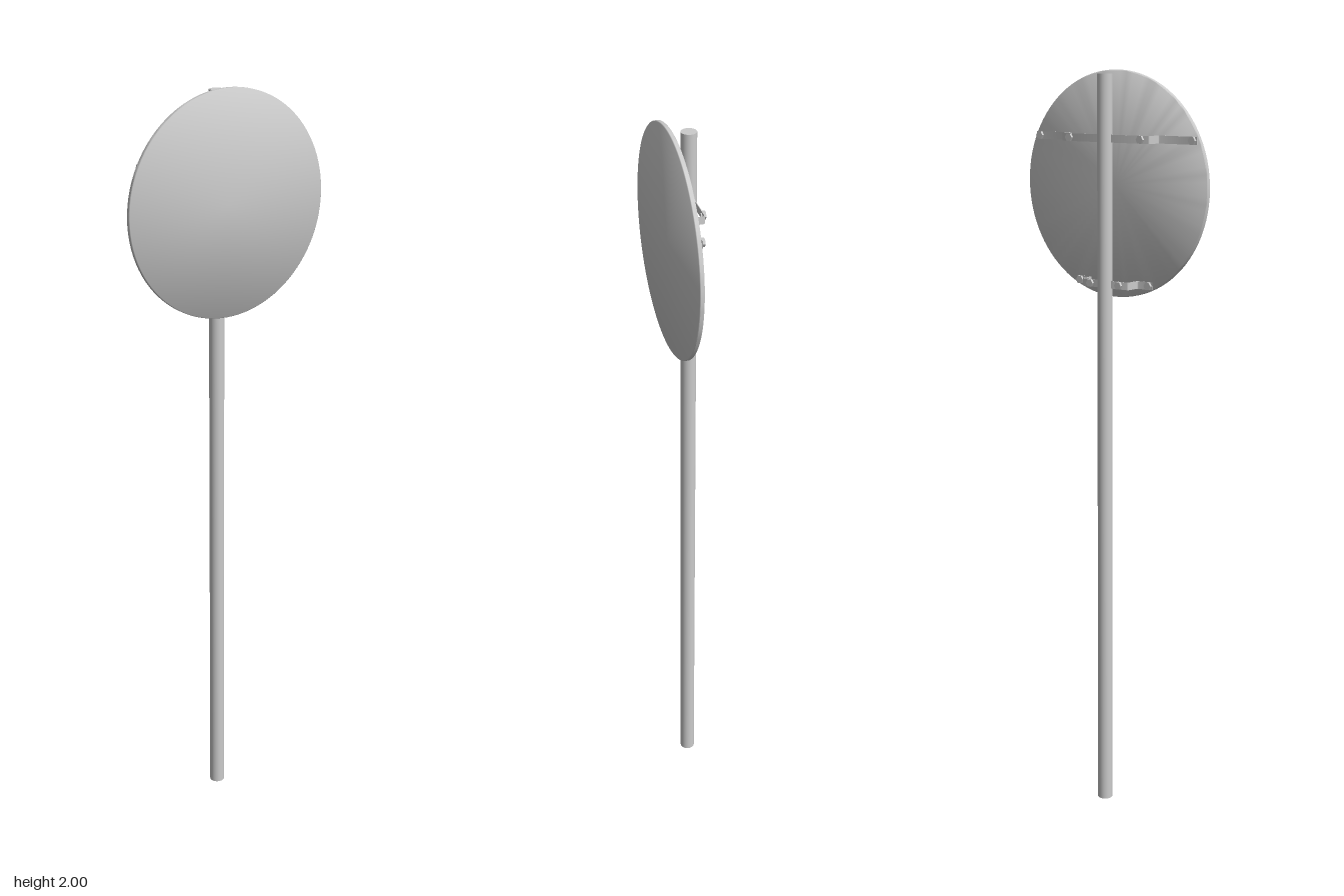
import * as THREE from 'three';
import { toCreasedNormals } from 'three/addons/utils/BufferGeometryUtils.js';

const grey = new THREE.MeshStandardMaterial({ color: 0xcccccc });
const POLE_Z = -0.018;   // pole axis and strap middle
const FOOT_Z = 0.0225;   // strap feet, against the back of the plate

function part(name, geometry, parent) {
  const mesh = new THREE.Mesh(geometry, grey);
  mesh.name = name;
  parent.add(mesh);
  return mesh;
}

// Hexagonal head with a short shank, pointing towards +z
function bolt(name, x, z, parent) {
  const group = new THREE.Group();
  group.name = name;
  const head = new THREE.CylinderGeometry(0.011, 0.011, 0.007, 6).rotateX(Math.PI / 2).rotateZ(Math.PI / 2);
  part('boltHead', toCreasedNormals(head, 0.5), group).position.z = -0.0045;
  const shank = new THREE.CylinderGeometry(0.006, 0.006, 0.006, 12).rotateX(Math.PI / 2);
  part('boltShank', shank, group).position.z = 0.001;
  group.position.set(x, 0, z);
  parent.add(group);
}

// Flat strap bent into a hat section: foot, riser, bridge, riser, foot
function strapGeometry(bend, end) {
  const t = 0.0015, r = 0.005, height = 0.02;
  const outline = (o, grow) => {
    const b = bend + grow, zf = FOOT_Z + o, zb = POLE_Z + o, pts = [];
    const arc = (cx, cz, rad, from, to) => {
      for (let i = 0; i <= 5; i++) {
        const a = from + (to - from) * i / 5;
        pts.push([cx + rad * Math.cos(a), cz + rad * Math.sin(a)]);
      }
    };
    pts.push([end, zf]);
    arc(b + r, zf - r, r, Math.PI / 2, Math.PI);   // foot into riser
    arc(b - r, zb + r, r, 0, -Math.PI / 2);        // riser into bridge
    return pts.concat(pts.slice().reverse().map(([x, z]) => [-x, z]));
  };
  const front = outline(t / 2, -t / 2), back = outline(-t / 2, t / 2);
  const shape = new THREE.Shape(front.concat(back.reverse()).map(([x, z]) => new THREE.Vector2(x, -z)));
  const g = new THREE.ExtrudeGeometry(shape, { depth: height, bevelEnabled: false });
  g.translate(0, 0, -height / 2).rotateX(-Math.PI / 2);
  return toCreasedNormals(g, 0.6);
}

export function createModel() {
  const model = new THREE.Group();
  model.name = 'roundSignOnPole';

  // Pole
  part('pole', new THREE.CylinderGeometry(0.02, 0.02, 1.99, 32), model).position.set(0, 0.995, POLE_Z);

  // Round plate with slightly softened edges
  const profile = [[0, 0], [0.292, 0], [0.294, 0.002], [0.294, 0.01], [0.292, 0.012], [0, 0.012]]
    .map(([r, y]) => new THREE.Vector2(r, y));
  const plate = new THREE.LatheGeometry(profile, 96).rotateX(Math.PI / 2);
  part('signPlate', toCreasedNormals(plate, 0.9), model).position.set(0, 1.706, 0.025);

  // Wide upper and narrow lower brackets, each with four bolts
  const brackets = [
    { name: 'upperBracket', y: 1.827, bend: 0.142, end: 0.262, foot: 0.249, bridge: 0.116 },
    { name: 'lowerBracket', y: 1.45, bend: 0.076, end: 0.125, foot: 0.113, bridge: 0.047 },
  ];
  for (const b of brackets) {
    const group = new THREE.Group();
    group.name = b.name;
    group.position.y = b.y;
    part('strap', strapGeometry(b.bend, b.end), group);
    for (const side of [-1, 1]) {
      bolt('footBolt', side * b.foot, FOOT_Z, group);
      bolt('bridgeBolt', side * b.bridge, POLE_Z, group);
    }
    model.add(group);
  }
  return model;
}
